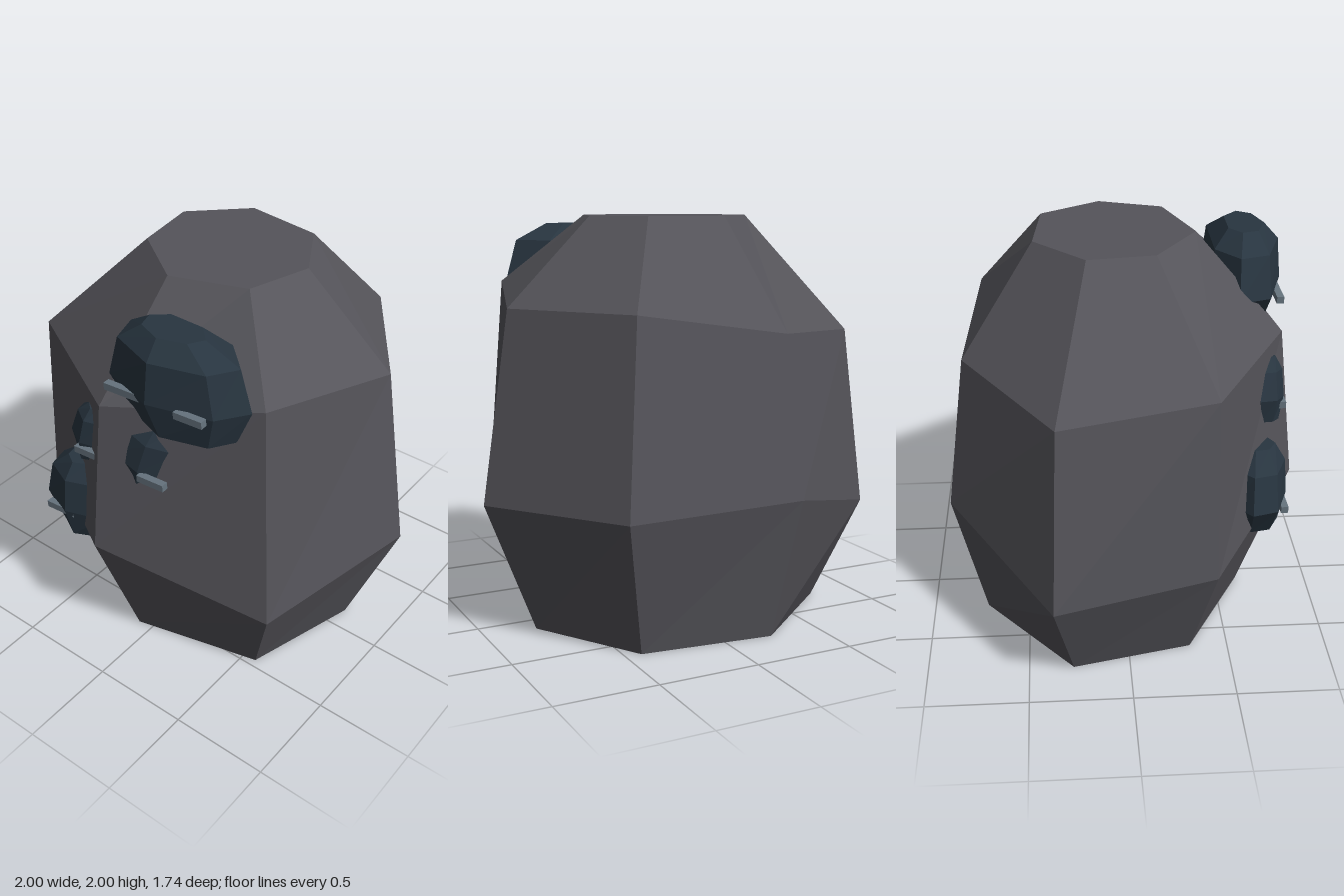
import * as THREE from 'three';

const material = (color) => new THREE.MeshStandardMaterial({ color, flatShading: true });

// Closed faceted solid from stacked rings of [x, y, z] corners, counter-clockwise from above
function ringSolid(rings) {
  const n = rings[0].length;
  const index = [];
  for (let r = 0; r < rings.length - 1; r++) {
    for (let i = 0; i < n; i++) {
      const j = (i + 1) % n;
      const a = r * n, b = a + n;
      index.push(a + i, a + j, b + j, a + i, b + j, b + i);
    }
  }
  const top = (rings.length - 1) * n;
  for (let i = 1; i < n - 1; i++) index.push(0, i + 1, i, top, top + i, top + i + 1);
  const geometry = new THREE.BufferGeometry();
  geometry.setAttribute('position', new THREE.Float32BufferAttribute(rings.flat(2), 3));
  geometry.setIndex(index);
  const flat = geometry.toNonIndexed();
  flat.computeVertexNormals();
  return flat;
}

// Seven-sided outline shared by the stones, as fractions of half width and half depth
const OUTLINE = [[-0.86, 0.53], [-0.1, 1], [0.73, 0.55], [1, -0.2], [0.55, -0.95], [-0.55, -0.95], [-1, -0.3]];

// Small stone: levels are [height fraction, width scale, depth scale, x shift]
function stoneGeometry([w, h, d], levels) {
  return ringSolid(levels.map(([y, sx, sz, dx]) =>
    OUTLINE.map(([x, z]) => [(x * sx + dx) * w, y * h, z * sz * d])));
}

export function createModel() {
  const group = new THREE.Group();
  const rock = material(0x55545a);
  const dark = material(0x283540);
  const pale = material(0x66747e);

  const add = (name, geometry, mat, position = [0, 0, 0], rotation = [0, 0, 0]) => {
    const mesh = new THREE.Mesh(geometry, mat);
    mesh.name = name;
    mesh.position.set(...position);
    mesh.rotation.set(...rotation);
    group.add(mesh);
  };

  // Main boulder: base, belly, shoulder and crown
  add('boulder', ringSolid([
    [[-0.63, 0, 0.31], [-0.08, 0, 0.62], [0.57, 0, 0.46], [0.74, 0, -0.12],
      [0.42, 0, -0.65], [-0.24, 0, -0.72], [-0.76, 0, -0.28]],
    [[-0.83, 0.56, 0.41], [-0.11, 0.71, 0.87], [0.73, 0.48, 0.6], [1, 0.66, -0.15],
      [0.55, 0.67, -0.81], [-0.31, 0.7, -0.87], [-1, 0.51, -0.37]],
    [[-0.8, 1.49, 0.39], [-0.1, 1.5, 0.78], [0.65, 1.66, 0.54], [0.86, 1.58, -0.14],
      [0.46, 1.58, -0.7], [-0.27, 1.47, -0.77], [-0.89, 1.42, -0.34]],
    [[-0.34, 2, 0.14], [-0.04, 2, 0.35], [0.32, 2, 0.22], [0.42, 2, -0.09],
      [0.25, 2, -0.38], [-0.13, 2, -0.42], [-0.38, 2, -0.18]],
  ]), rock);

  // Dark stones set into the front
  const big = [[-1, 0.72, 0.78, 0.08], [-0.23, 1, 1, 0], [0.64, 0.84, 0.9, 0], [1, 0.43, 0.5, -0.06]];
  const small = [[-1, 0.55, 0.78, 0], [-0.25, 1, 1, 0], [0.6, 0.8, 0.9, 0], [1, 0.35, 0.55, 0]];
  add('upperStone', stoneGeometry([0.37, 0.235, 0.19], big), dark, [0.24, 1.715, 0.62]);
  add('leftStone', stoneGeometry([0.22, 0.19, 0.11], small), dark, [0.11, 1.255, 0.66], [0, 0.25, -0.25]);
  add('rightStone', stoneGeometry([0.12, 0.16, 0.1], small), dark, [-0.23, 1.26, 0.68], [0, 0, -0.2]);
  add('lowerStone', stoneGeometry([0.24, 0.22, 0.15], small), dark, [-0.35, 0.8, 0.65]);

  // Pale slivers lying across the stones: x, y, width
  [[0.05, 1.645, 0.2], [0.42, 1.66, 0.15], [-0.2, 1.185, 0.15], [0.19, 1.2, 0.15], [-0.42, 0.725, 0.17]]
    .forEach(([x, y, w], i) => add('sliver' + (i + 1),
      new THREE.BoxGeometry(w, 0.035, 0.035), pale, [x, y, 0.77], [0, 0.04, 0.05]));

  return group;
}
